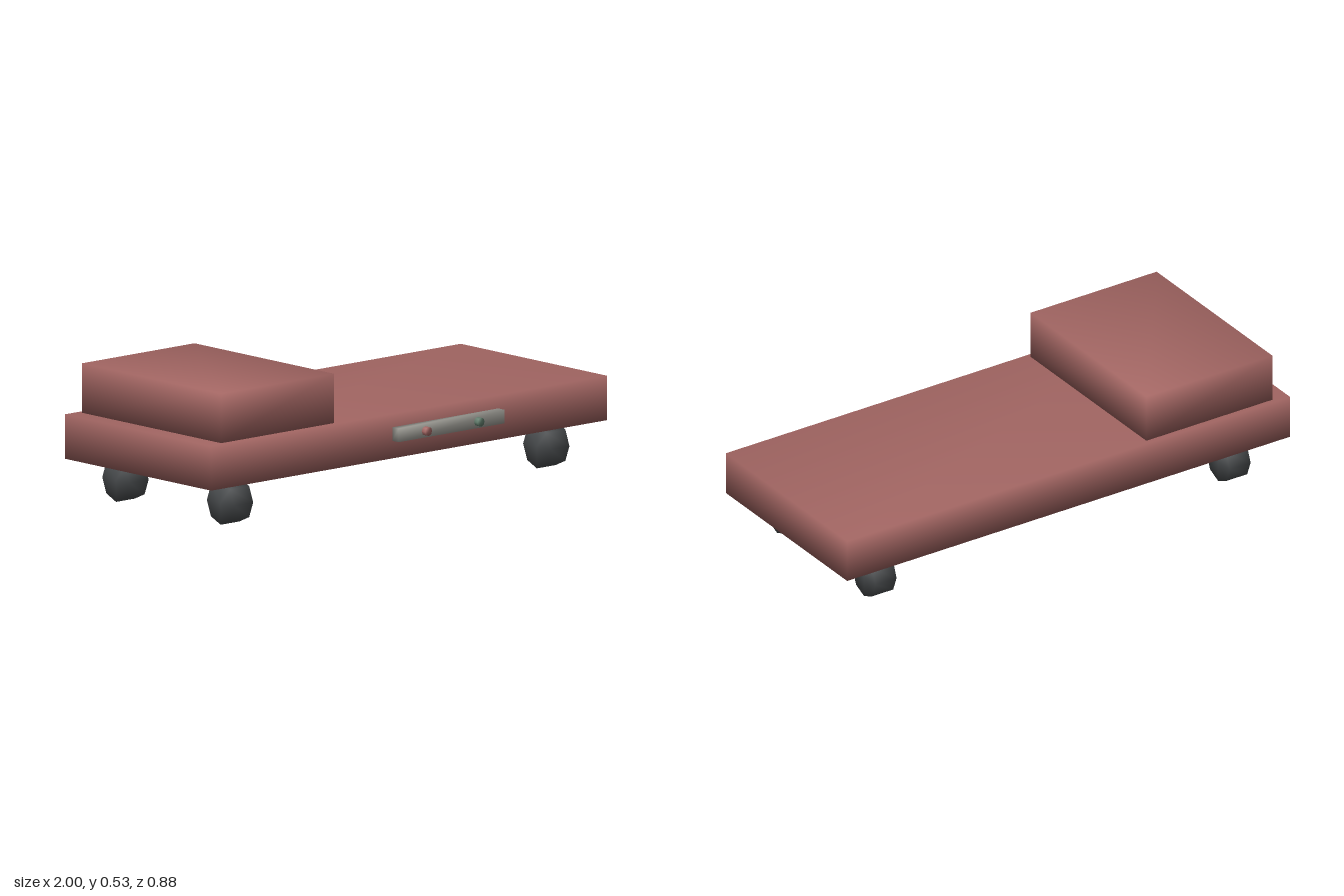
import * as THREE from 'three';
import { mergeVertices } from 'three/addons/utils/BufferGeometryUtils.js';

const paint = (color) => new THREE.MeshStandardMaterial({ color });

// Weld the corners so the shading runs smoothly over every edge
function smooth(geometry) {
  geometry.deleteAttribute('uv');
  geometry.deleteAttribute('normal');
  const welded = mergeVertices(geometry, 1e-4);
  welded.computeVertexNormals();
  return welded;
}

function part(name, geometry, material, x, y, z) {
  const mesh = new THREE.Mesh(smooth(geometry), material);
  mesh.name = name;
  mesh.position.set(x, y, z);
  return mesh;
}

// Box given by its limits on each axis
function block(name, material, [x0, x1], [y0, y1], [z0, z1]) {
  return part(name, new THREE.BoxGeometry(x1 - x0, y1 - y0, z1 - z0), material,
    (x0 + x1) / 2, (y0 + y1) / 2, (z0 + z1) / 2);
}

export function createModel() {
  const group = new THREE.Group();
  const red = paint(0xa36663);
  const rubber = paint(0x484b4d);

  // Long flat body with a raised block at one end
  group.add(block('body', red, [-1, 1], [0.168, 0.338], [-0.44, 0.378]));
  group.add(block('raisedBlock', red, [-0.933, -0.364], [0.338, 0.527], [-0.42, 0.36]));

  // Eight-sided wheels, slightly taller than long
  for (const [side, x] of [['left', 0.797], ['right', -0.801]]) {
    for (const [end, z] of [['Front', 0.263], ['Back', -0.322]]) {
      const wheel = new THREE.CylinderGeometry(1, 1, 0.095, 8);
      wheel.rotateZ(Math.PI / 2).scale(1, 0.084, 0.077);
      group.add(part(`${side}${end}Wheel`, wheel, rubber, x, 0.084, z));
    }
  }

  // Light bar on the front side with two small lamps
  group.add(block('lightBar', paint(0xa09f98), [-0.091, 0.444], [0.237, 0.289], [0.385, 0.42]));
  for (const [name, color, x] of [['redLamp', 0xa36663, 0.043], ['greenLamp', 0x5f7a6a, 0.308]]) {
    const lamp = new THREE.CylinderGeometry(0.0175, 0.0175, 0.03, 8).rotateX(Math.PI / 2);
    group.add(part(name, lamp, paint(color), x, 0.263, 0.425));
  }
  return group;
}
